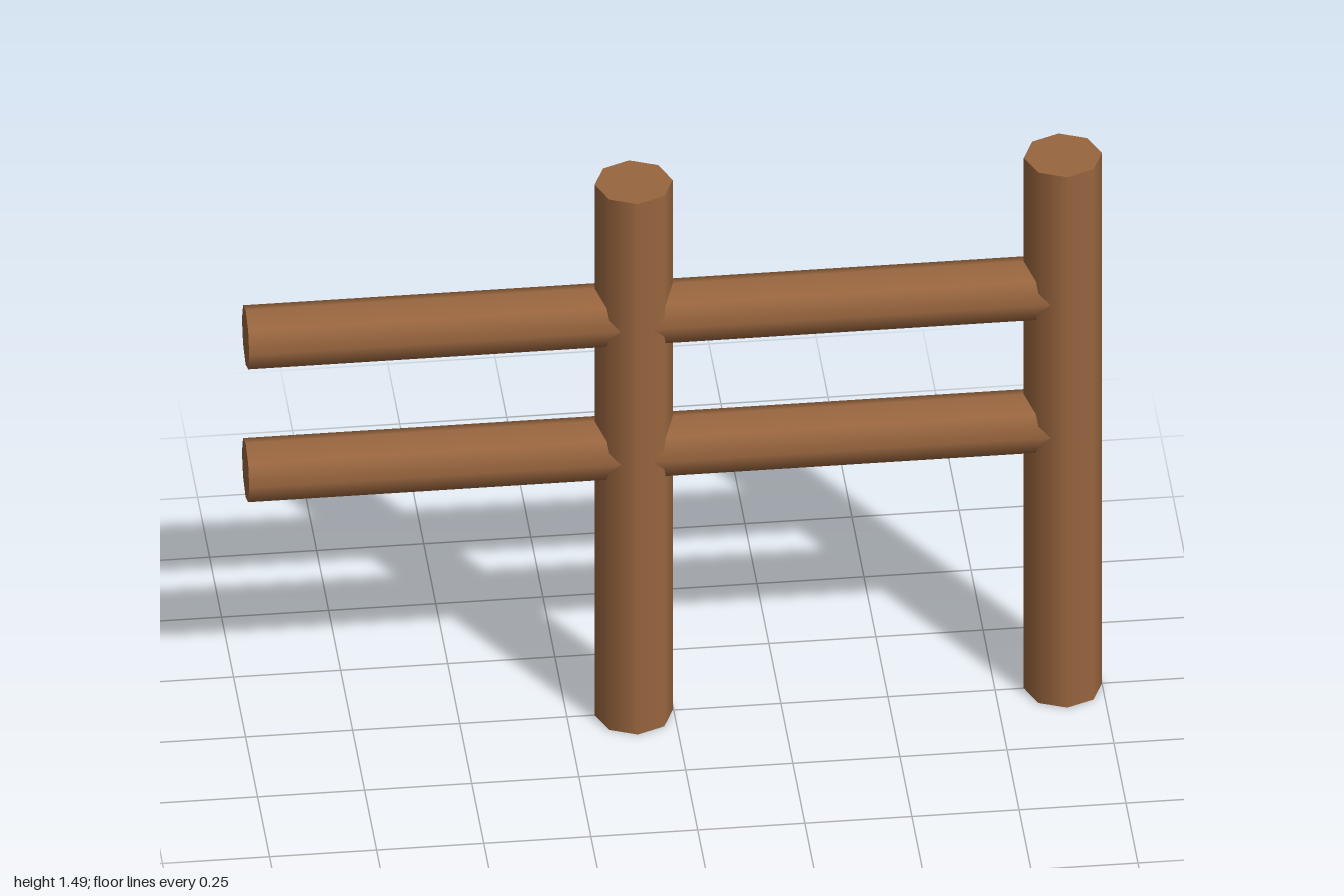
import * as THREE from 'three';

const SIDES = 8;
const POST = { radius: 0.0915, height: 1.485, xs: [-0.094, 0.9085] };
const RAIL = { radius: 0.076, ys: [0.747, 1.119] };

export function createModel() {
  const fence = new THREE.Group();
  fence.name = 'fence';

  const wood = new THREE.MeshStandardMaterial({ color: 0x99663f });
  wood.name = 'brown wood';

  const addLog = (name, radius, length) => {
    const mesh = new THREE.Mesh(new THREE.CylinderGeometry(radius, radius, length, SIDES), wood);
    mesh.name = name;
    fence.add(mesh);
    return mesh;
  };

  // Upright posts
  POST.xs.forEach((x, i) => {
    addLog(['middlePost', 'endPost'][i], POST.radius, POST.height)
      .position.set(x, POST.height / 2, 0);
  });

  // Horizontal rails, from the open end to the core of the end post
  const start = -1;
  const end = POST.xs[1];
  RAIL.ys.forEach((y, i) => {
    const rail = addLog(['lowerRail', 'upperRail'][i], RAIL.radius, end - start);
    rail.rotation.z = Math.PI / 2;
    rail.position.set((start + end) / 2, y, 0);
  });

  return fence;
}
